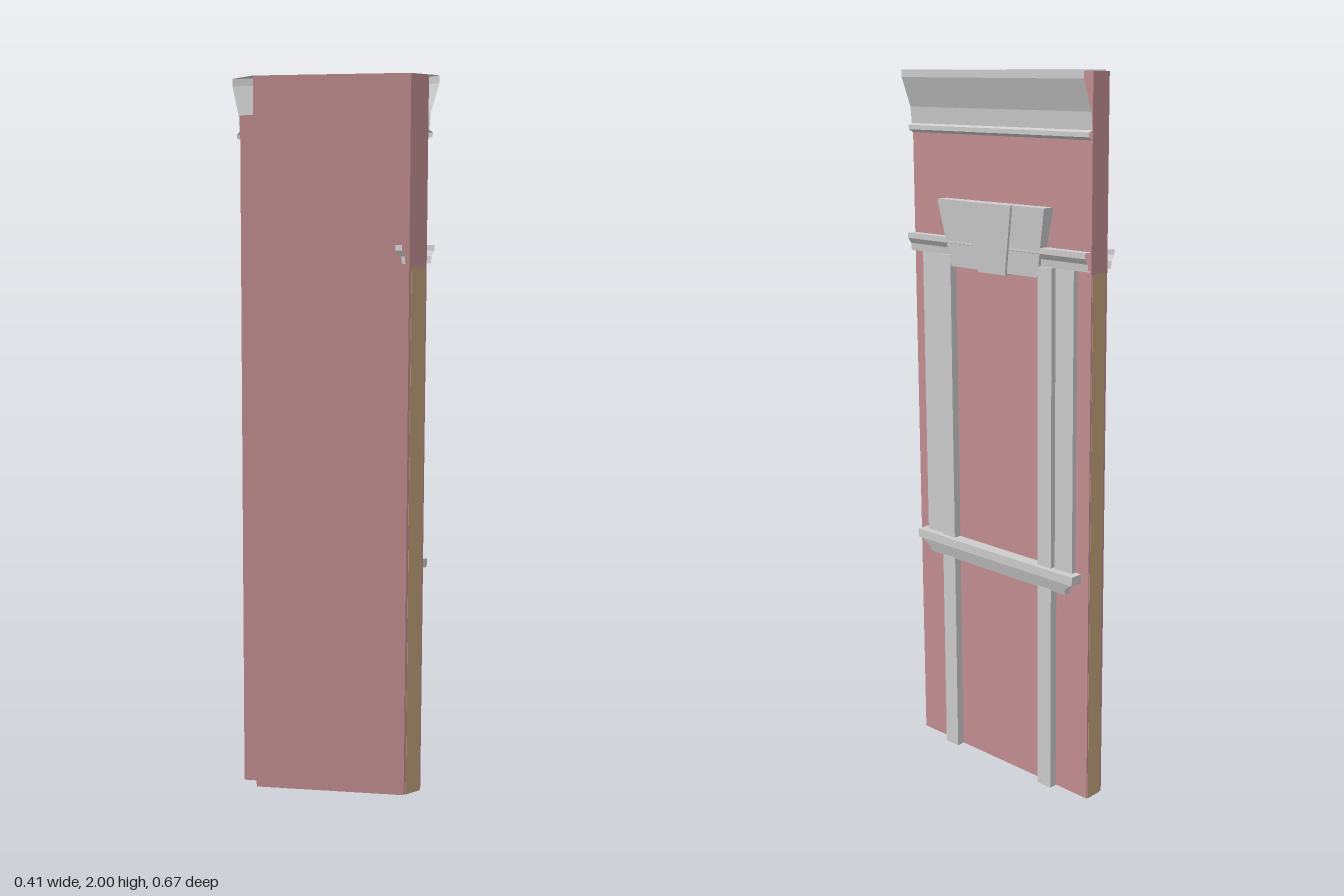
import * as THREE from 'three';

const IN = 0.097, OUT = 0.16, END = 0.333; // wall faces and half length

export function createModel() {
  const group = new THREE.Group();
  const mat = (name, color) => {
    const m = new THREE.MeshStandardMaterial({ color, side: THREE.DoubleSide });
    m.name = name;
    return m;
  };
  const red = mat('red wall', 0xc38f92);
  const stone = mat('grey stone', 0xcccccc);
  const tan = mat('tan edge', 0xc4a47c);

  const add = (name, geo, material) => {
    const mesh = new THREE.Mesh(geo, material);
    mesh.name = name;
    group.add(mesh);
    return mesh;
  };

  // box given by its limits on each axis
  const box = (name, x0, x1, y0, y1, z0, z1, material) => {
    const g = new THREE.BoxGeometry(Math.abs(x1 - x0), y1 - y0, Math.abs(z1 - z0));
    g.translate((x0 + x1) / 2, (y0 + y1) / 2, (z0 + z1) / 2);
    return add(name, g, material);
  };

  // open moulding: a profile [offset, y] swept from a to b (both [x, z])
  const strip = (name, profile, a, b, dir, material) => {
    const at = (p, [d, y]) => [p[0] + d * dir[0], y, p[1] + d * dir[1]];
    const v = [];
    for (let i = 0; i + 1 < profile.length; i++) {
      const p = at(a, profile[i]), q = at(b, profile[i]);
      const r = at(b, profile[i + 1]), s = at(a, profile[i + 1]);
      v.push(...p, ...r, ...q, ...p, ...s, ...r);
    }
    const g = new THREE.BufferGeometry();
    g.setAttribute('position', new THREE.Float32BufferAttribute(v, 3));
    g.computeVertexNormals();
    return add(name, g, material);
  };

  // plate outlined in [z, y], standing on x0; its face may lean back toward the bottom
  const plate = (name, pts, x0, depth, lean, material) => {
    const shape = new THREE.Shape(pts.map(([z, y]) => new THREE.Vector2(-z, y)));
    const g = new THREE.ExtrudeGeometry(shape, { depth, bevelEnabled: false });
    g.rotateY(Math.PI / 2);
    const top = Math.max(...pts.map((p) => p[1]));
    const pos = g.attributes.position;
    for (let i = 0; i < pos.count; i++) {
      if (pos.getX(i) > depth / 2) pos.setX(i, depth - (top - pos.getY(i)) * lean);
    }
    g.translate(x0, 0, 0);
    g.computeVertexNormals();
    return add(name, g, material);
  };

  // main wall with exposed tan edges at both ends and the bottom
  box('mainWall', IN, OUT, 0.001, 1.998, -END + 0.001, END - 0.001, red);
  box('wallEdge', IN + 0.008, OUT - 0.005, 0, 1.49, -END, END, tan);

  // angled wing: two sheets, open at the bottom and the far end
  const p0 = [IN, END], p1 = [-0.203, 0.032], wingDir = [0, -1];
  strip('wingOuterSheet', [[0, 0], [0, 2]], p0, p1, wingDir, red);
  strip('wingInnerSheet', [[0.063, 0], [0.063, 1.9]], p0, p1, wingDir, red);

  // crowning cornice, along the main wall and the wing
  const cornice = [[0, 2], [0.1, 2], [0.1, 1.98], [0.07, 1.9], [0.066, 1.855],
    [0.078, 1.85], [0.078, 1.838], [0.063, 1.83]];
  strip('mainCornice', cornice, [IN, -END], [IN, END], [1, 0], stone);
  strip('wingCornice', cornice, p0, p1, wingDir, stone);

  // window surround on both faces of the main wall
  for (const [side, face, dir] of [['outer', OUT, 1], ['inner', IN, -1]]) {
    const x = (d) => face + dir * d;
    for (const s of [1, -1]) {
      box(side + 'Jamb', x(-0.002), x(0.023), 0, 1.5, s * 0.165, s * 0.215, stone);
      box(side + 'Pilaster', x(-0.002), x(0.015), 0.66, 1.5, s * 0.222, s * 0.285, stone);
    }
    // lintel band
    const band = [[0, 1.55], [0.027, 1.55], [0.027, 1.535], [0.016, 1.52], [0.014, 1.5], [0, 1.5]];
    strip(side + 'Lintel', band, [face, -END], [face, END], [dir, 0], stone);
    // sill slab over a bed mould
    const reach = dir > 0 ? 0.038 : 0.026;
    box(side + 'SillSlab', x(0), x(reach), 0.645, 0.67, -0.305, 0.305, stone);
    const bed = [[-0.3, 0.645], [0.3, 0.645], [0.268, 0.622], [0.268, 0.605], [-0.268, 0.605], [-0.268, 0.622]];
    const depth = reach - 0.004;
    if (dir > 0) plate(side + 'SillBed', bed, face, depth, 0.3, stone);
    else plate(side + 'SillBed', bed, face - depth, depth, 0, stone);
  }

  // keystone with a flanking stone on each side
  plate('keystone', [[-0.087, 1.655], [0.087, 1.655], [0.05, 1.465], [-0.05, 1.465]], OUT, 0.043, 0.08, stone);
  for (const s of [1, -1]) {
    plate('flankingStone', [[s * 0.085, 1.655], [s * 0.2, 1.655], [s * 0.162, 1.47], [s * 0.048, 1.47]],
      OUT, 0.036, 0.08, stone);
  }

  return group;
}
